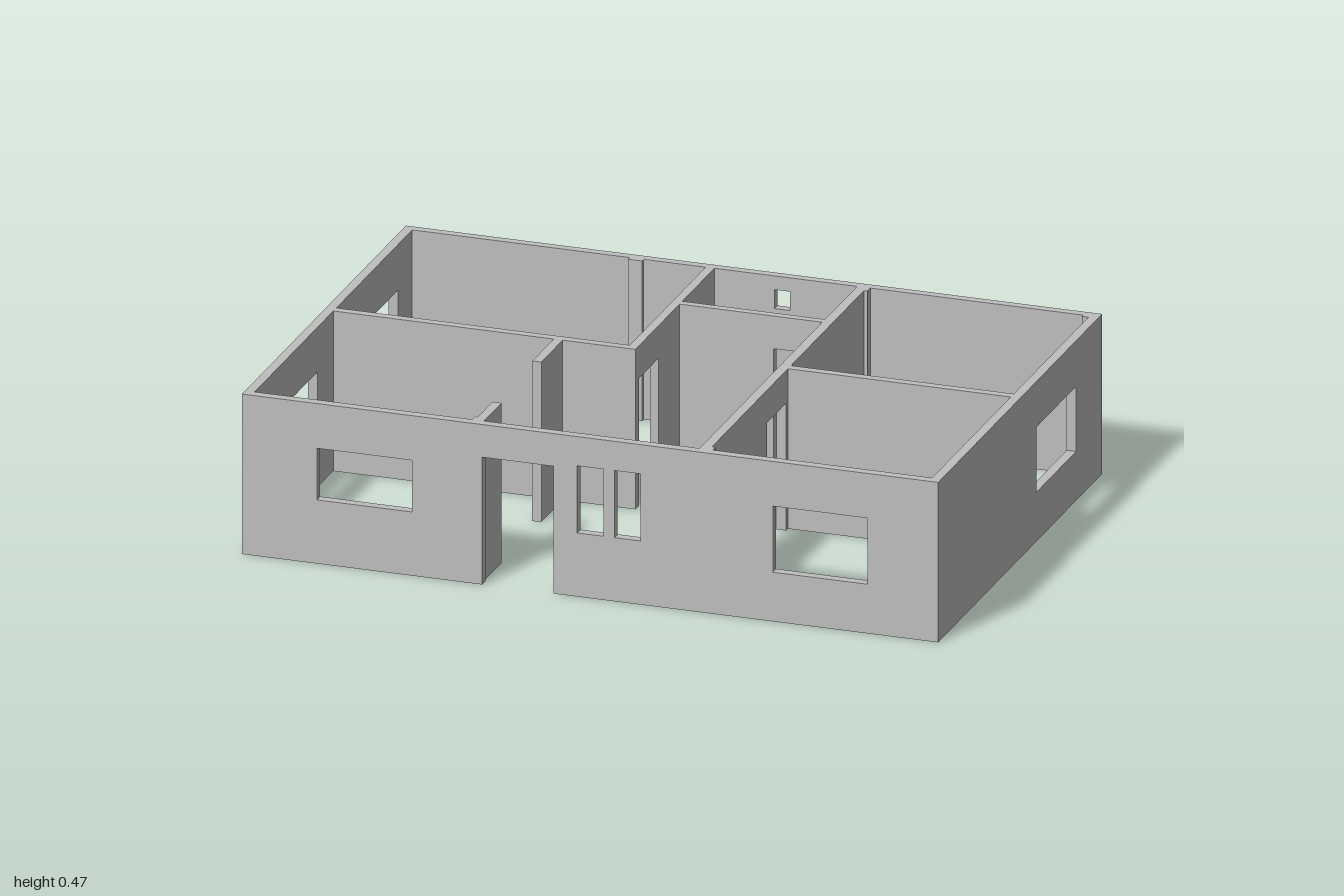
import * as THREE from 'three';

const H = 0.465;      // wall height
const DOOR = 0.37;    // door head height

export function createModel() {
  const house = new THREE.Group();
  house.name = 'floorPlan';
  const plaster = new THREE.MeshStandardMaterial({ color: 0xbfbfbf });
  plaster.name = 'plaster grey';

  // Wall running along an axis from u0 to u1, filling c0..c1 across it.
  // doors: [start, end] notches from the floor; windows: [start, end, sill, head]
  function wall(name, axis, u0, u1, c0, c1, doors = [], windows = []) {
    const s = new THREE.Shape();
    s.moveTo(u0, 0);
    for (const [a, b] of doors) {
      s.lineTo(a, 0);
      s.lineTo(a, DOOR);
      s.lineTo(b, DOOR);
      s.lineTo(b, 0);
    }
    s.lineTo(u1, 0);
    s.lineTo(u1, H);
    s.lineTo(u0, H);
    s.closePath();
    for (const [a, b, y0, y1] of windows) {
      const hole = new THREE.Path();
      hole.moveTo(a, y0);
      hole.lineTo(a, y1);
      hole.lineTo(b, y1);
      hole.lineTo(b, y0);
      hole.closePath();
      s.holes.push(hole);
    }
    const geo = new THREE.ExtrudeGeometry(s, { depth: c1 - c0, bevelEnabled: false });
    if (axis === 'z') geo.rotateY(-Math.PI / 2).translate(c1, 0, 0);
    else geo.translate(0, 0, c0);
    const mesh = new THREE.Mesh(geo, plaster);
    mesh.name = name;
    house.add(mesh);
  }

  // Outer walls
  wall('frontWall', 'x', -1, 1, 0.643, 0.67, [[-0.31, -0.105]], [
    [-0.785, -0.512, 0.185, 0.335],
    [-0.037, 0.038, 0.185, 0.38],
    [0.07, 0.145, 0.185, 0.38],
    [0.525, 0.797, 0.143, 0.335],
  ]);
  wall('backWall', 'x', -1, 1, -0.67, -0.645, [], [[0.068, 0.113, 0.37, 0.425]]);
  wall('rightSideWall', 'z', -0.645, 0.643, -1, -0.973, [], [
    [-0.53, -0.21, 0.143, 0.332],
    [0.13, 0.45, 0.185, 0.335],
  ]);
  wall('leftSideWall', 'z', -0.645, 0.643, 0.973, 1, [], [[-0.457, -0.133, 0.143, 0.332]]);

  // Partitions between rooms
  wall('backRoomPartition', 'x', -0.973, -0.13, -0.025, 0);
  wall('hallPartition', 'z', -0.645, 0, -0.13, -0.105, [[-0.19, -0.027]]);
  wall('bathroomPartition', 'x', -0.105, 0.305, -0.383, -0.36, [[0.165, 0.295]]);
  wall('longPartition', 'z', -0.645, 0.643, 0.305, 0.333, [[-0.18, -0.035], [0.015, 0.17]]);
  wall('leftRoomsPartition', 'x', 0.333, 0.973, -0.025, 0);

  // Short walls either side of the wide opening
  wall('innerStubWall', 'z', 0, 0.175, -0.34, -0.314);
  wall('entranceStubWall', 'z', 0.5, 0.643, -0.34, -0.314);

  // Slim posts in corners and on the back wall: x0, x1, z0, z1
  const posts = [
    [-0.348, -0.308, -0.645, -0.632],
    [-0.348, -0.34, 0.62, 0.643],
    [0.333, 0.343, 0.62, 0.643],
    [0.333, 0.343, -0.645, -0.62],
    [0.955, 0.973, -0.645, -0.635],
  ];
  for (const [x0, x1, z0, z1] of posts) wall('cornerPost', 'x', x0, x1, z0, z1);

  return house;
}
